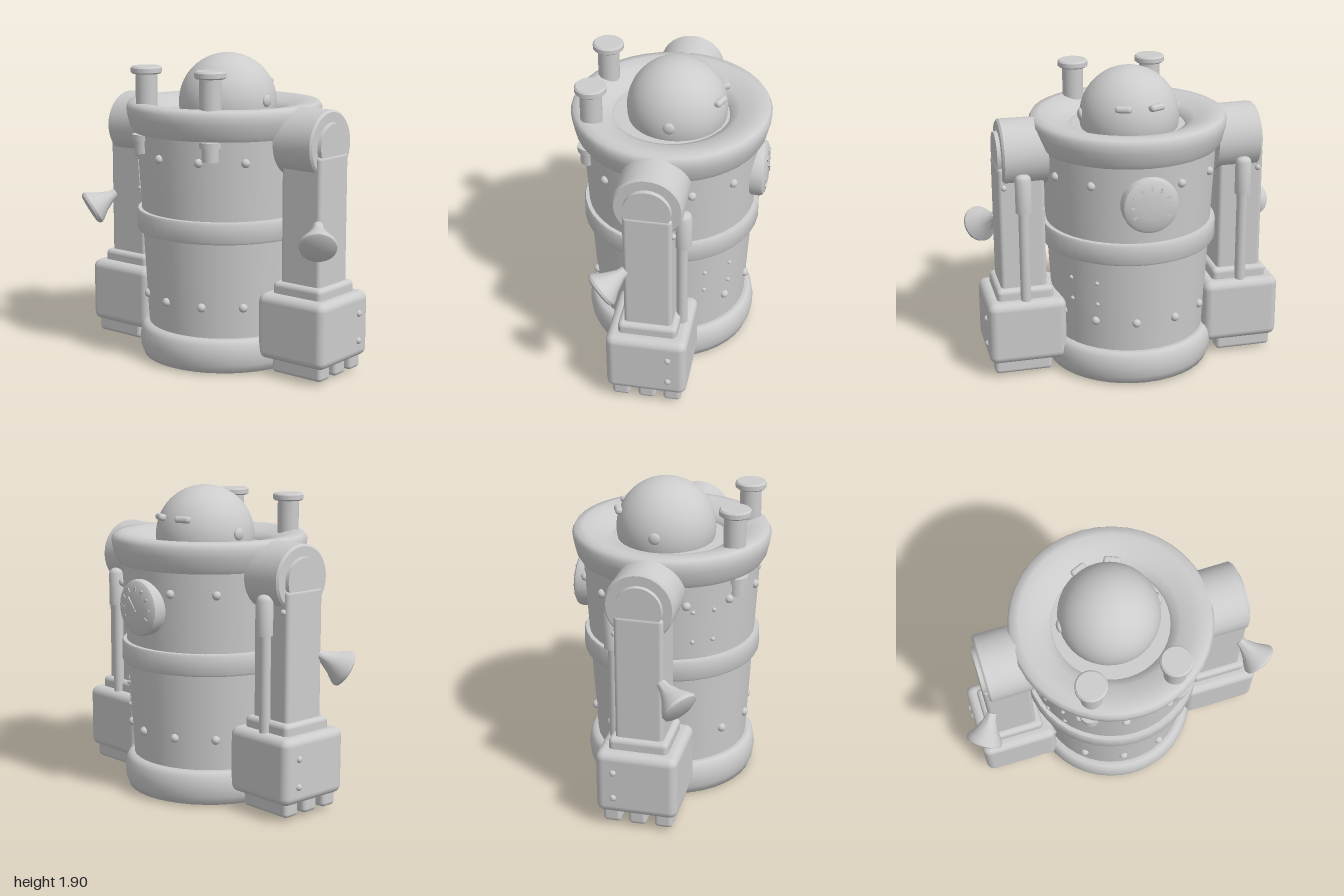
import * as THREE from 'three';
import { toCreasedNormals } from 'three/addons/utils/BufferGeometryUtils.js';
import { RoundedBoxGeometry } from 'three/addons/geometries/RoundedBoxGeometry.js';

export function createModel() {
  const model = new THREE.Group();
  model.name = 'barrelRobot';
  const metal = new THREE.MeshStandardMaterial({ color: 0xcccccc, side: THREE.DoubleSide });
  metal.name = 'greyMetal';

  const add = (parent, name, geometry, x = 0, y = 0, z = 0) => {
    const mesh = new THREE.Mesh(geometry, metal);
    mesh.name = name;
    mesh.position.set(x, y, z);
    parent.add(mesh);
    return mesh;
  };
  const lathe = (points, segments = 40, crease = 0.6) => toCreasedNormals(
    new THREE.LatheGeometry(points.map(([r, y]) => new THREE.Vector2(r, y)), segments), crease);
  const box = (w, h, d, r) => new RoundedBoxGeometry(w, h, d, 3, r);
  const ball = (r) => new THREE.SphereGeometry(r, 14, 10);
  const rad = THREE.MathUtils.degToRad;
  const bodyRadius = (y) => 0.475 + (y - 0.22) * 0.056;

  // Tapered barrel, open below, with its belt and two thick rims
  add(model, 'barrel', new THREE.CylinderGeometry(bodyRadius(1.5), bodyRadius(0.12), 1.38, 40, 1, true), 0, 0.81, 0);
  add(model, 'belt', lathe([[0.5, 0.81], [0.54, 0.813], [0.547, 0.825], [0.547, 0.93], [0.54, 0.945], [0.5, 0.947]]));
  add(model, 'bottomRim', lathe([[0.41, 0.1], [0.425, 0.03], [0.47, 0], [0.51, 0.012], [0.528, 0.06],
    [0.535, 0.12], [0.525, 0.185], [0.505, 0.215], [0.46, 0.222], [0.42, 0.18], [0.41, 0.1]], 40, 1));
  add(model, 'topRim', lathe([[0.5, 1.43], [0.565, 1.43], [0.583, 1.46], [0.6, 1.53], [0.606, 1.58],
    [0.59, 1.61], [0.54, 1.617], [0.48, 1.607], [0.41, 1.58], [0.36, 1.555], [0.345, 1.52], [0.36, 1.46], [0.5, 1.43]], 40, 1));
  add(model, 'topDeck', new THREE.CylinderGeometry(0.4, 0.4, 0.04, 40), 0, 1.515, 0);

  // Dome head with two eyes at the back and a knob on each side
  const head = new THREE.Group();
  head.name = 'head';
  head.position.set(0, 1.6, -0.035);
  model.add(head);
  add(head, 'dome', new THREE.SphereGeometry(0.304, 40, 28));
  for (const s of [-1, 1]) {
    const eye = add(head, 'eye', box(0.1, 0.055, 0.04, 0.018), s * 0.1, 0.115, -0.268);
    eye.lookAt(s * 0.2, 0.23, -0.536);
    const knob = add(head, 'sideKnob', ball(0.037), s * 0.303, 0.025, 0);
    knob.scale.x = 0.5;
  }

  // Two rows of rivets round the barrel
  const rivetAt = (name, degrees, y, size, lift = 0) => {
    const a = rad(degrees), r = bodyRadius(y) + lift;
    add(model, name, ball(size), r * Math.sin(a), y, r * Math.cos(a));
  };
  for (const y of [1.3, 0.41]) {
    for (let i = 0; i < 12; i++) rivetAt('barrelRivet', i * 30 - 7.5, y, 0.027);
  }

  // Curved repair plates, riveted at the corners
  const plate = (from, to, y0, y1) => {
    const inset = (to - from) * 0.17;
    add(model, 'repairPlate', new THREE.CylinderGeometry(bodyRadius(y1) + 0.005, bodyRadius(y0) + 0.005,
      y1 - y0, 8, 1, true, rad(from), rad(to - from)), 0, (y0 + y1) / 2, 0);
    for (const a of [from + inset, to - inset]) {
      for (const y of [y0 + 0.027, y1 - 0.027]) rivetAt('plateRivet', a, y, 0.014, 0.005);
    }
  };
  plate(-67, -45.5, 1.035, 1.285);
  plate(118, 150, 0.5, 0.695);

  // Round dial on the back
  const dial = new THREE.Group();
  dial.name = 'dial';
  dial.position.set(0, 1.2, -0.5);
  dial.rotation.x = -Math.PI / 2;
  model.add(dial);
  add(dial, 'dialCase', lathe([[0.17, 0], [0.172, 0.06], [0.165, 0.078], [0.145, 0.09], [0.08, 0.1], [0, 0.104]], 32));
  for (let i = 0; i < 9; i++) {
    const a = rad(-120 + i * 30);
    const tick = add(dial, 'dialTick', new THREE.BoxGeometry(0.012, 0.009, 0.03),
      0.115 * Math.sin(a), 0.096, 0.115 * Math.cos(a));
    tick.rotation.y = a;
  }
  const needle = add(dial, 'dialNeedle', new THREE.BoxGeometry(0.012, 0.009, 0.11), 0.02, 0.104, 0.02);
  needle.rotation.y = rad(40);

  // Exhaust stacks through the top rim
  for (const s of [-1, 1]) {
    const stack = new THREE.Group();
    stack.name = 'exhaustStack';
    stack.position.set(s * 0.25, 0, 0.437);
    model.add(stack);
    add(stack, 'stackPipe', new THREE.CylinderGeometry(0.066, 0.066, 0.28, 24), 0, 1.67, 0);
    add(stack, 'stackCap', lathe([[0, 1.795], [0.085, 1.795], [0.095, 1.803], [0.095, 1.83], [0.085, 1.84], [0, 1.84]], 24));
    add(stack, 'lowerPipe', new THREE.CylinderGeometry(0.052, 0.052, 0.11, 24), s * 0.015, 1.365, 0.02);
    add(stack, 'lowerCollar', new THREE.CylinderGeometry(0.067, 0.067, 0.035, 24), s * 0.015, 1.41, 0.02);
  }

  // Arms, mirrored
  const horn = lathe([[0, 0], [0.03, 0], [0.036, 0.04], [0.07, 0.11], [0.105, 0.16], [0.114, 0.178],
    [0.11, 0.195], [0.09, 0.205], [0, 0.21]], 24);
  for (const s of [-1, 1]) {
    const arm = new THREE.Group();
    arm.name = s > 0 ? 'leftArm' : 'rightArm';
    model.add(arm);

    // Shoulder drum with its end disc
    const drum = add(arm, 'shoulder', lathe([[0, -0.15], [0.205, -0.15], [0.207, 0.115], [0.195, 0.127], [0, 0.127]], 36),
      s * 0.68, 1.407, 0);
    drum.rotation.z = -s * Math.PI / 2;
    const disc = add(arm, 'shoulderDisc', new THREE.CylinderGeometry(0.138, 0.145, 0.04, 32), s * 0.81, 1.4, 0);
    disc.rotation.z = -s * Math.PI / 2;

    // Upper arm, cuff, fist and fingers
    add(arm, 'upperArm', box(0.285, 0.85, 0.29, 0.025), s * 0.692, 0.93, 0);
    add(arm, 'cuff', box(0.353, 0.1, 0.36, 0.03), s * 0.69, 0.525, 0);
    add(arm, 'fist', box(0.487, 0.405, 0.494, 0.05), s * 0.688, 0.303, 0);
    for (const z of [-0.155, 0, 0.16]) {
      add(arm, 'finger', box(0.36, 0.12, 0.11, 0.025), s * 0.718, 0.082, z);
    }
    for (const y of [0.21, 0.38]) add(arm, 'fistRivet', ball(0.021), s * 0.928, y, -0.136);
    add(arm, 'armRivet', ball(0.018), s * 0.8, 1.23, -0.148);

    // Piston behind the arm
    add(arm, 'pistonSleeve', lathe([[0, 1.085], [0.05, 1.085], [0.05, 1.29], [0.042, 1.31], [0.025, 1.322], [0, 1.325]], 20),
      s * 0.69, 0, -0.19);
    add(arm, 'pistonRod', new THREE.CylinderGeometry(0.033, 0.033, 0.62, 20), s * 0.69, 0.8, -0.183);

    // Horn on the outer front edge
    const trumpet = add(arm, 'horn', horn, s * 0.81, 0.95, 0.13);
    trumpet.quaternion.setFromUnitVectors(new THREE.Vector3(0, 1, 0), new THREE.Vector3(s * 0.1, -0.1, 0.14).normalize());
  }
  return model;
}
